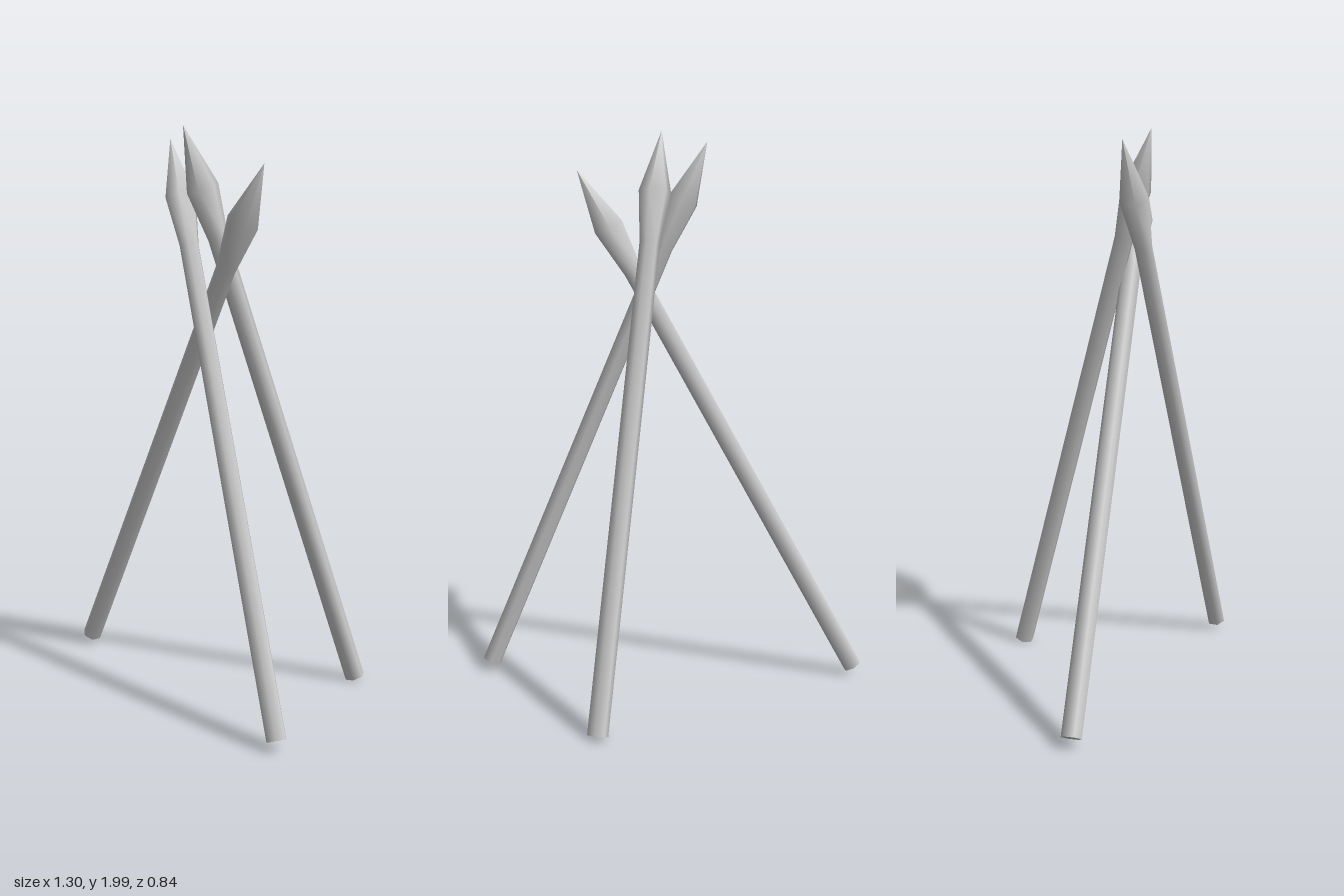
import * as THREE from 'three';
import { toCreasedNormals } from 'three/addons/utils/BufferGeometryUtils.js';

const LENGTH = 2.085, SIDES = 6;

// Pole and pointed head in one turned profile, standing along +y from its butt
function spearGeometry(roll) {
  const profile = [
    [0, 0], [0.036, 0], [0.036, LENGTH - 0.4], [0.058, LENGTH - 0.222], [0, LENGTH],
  ].map(([r, y]) => new THREE.Vector2(r, y));
  const lathe = new THREE.LatheGeometry(profile, SIDES);
  lathe.rotateY(roll);
  return toCreasedNormals(lathe, THREE.MathUtils.degToRad(75));
}

export function createModel() {
  const group = new THREE.Group();
  group.name = 'leaningSpears';
  const material = new THREE.MeshStandardMaterial({ color: 0xcccccc });

  // Butt, tip and roll about the long axis
  const spears = [
    ['rightSpear', [-0.625, 0.035, -0.15], [0.35, 1.865, 0.085], 0],
    ['leftSpear', [0.615, 0.035, 0.385], [-0.1, 1.955, 0.01], 0],
    ['backSpear', [0.445, 0.012, -0.385], [0.03, 2, 0.11], Math.PI / 6],
  ];

  for (const [name, butt, tip, roll] of spears) {
    const base = new THREE.Vector3(...butt);
    const axis = new THREE.Vector3(...tip).sub(base).normalize();
    // Local x points to the upper, outward side of the leaning pole
    const side = new THREE.Vector3().crossVectors(axis, new THREE.Vector3(0, 1, 0)).normalize();
    const outward = new THREE.Vector3().crossVectors(side, axis);
    const across = new THREE.Vector3().crossVectors(outward, axis);

    const spear = new THREE.Mesh(spearGeometry(roll), material);
    spear.name = name;
    spear.quaternion.setFromRotationMatrix(new THREE.Matrix4().makeBasis(outward, axis, across));
    spear.position.copy(base);
    group.add(spear);
  }
  return group;
}
